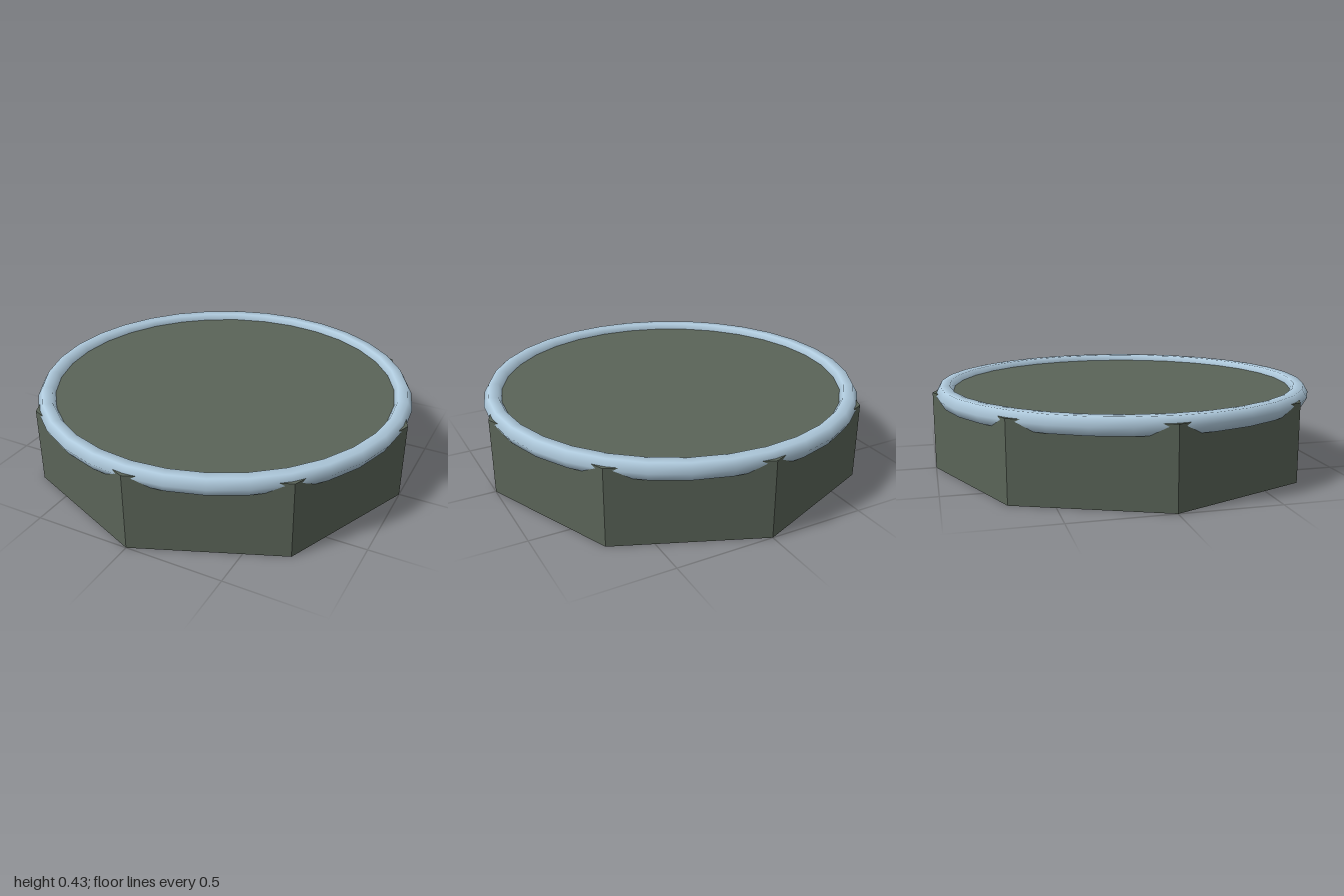
import * as THREE from 'three';

export function createModel() {
  const group = new THREE.Group();
  const slate = new THREE.MeshStandardMaterial({ color: 0x5a6458, flatShading: true });
  slate.name = 'dark grey green';
  const paleBlue = new THREE.MeshStandardMaterial({ color: 0xb0cbde });
  paleBlue.name = 'pale blue';

  // Eight-sided base with corners on the x and z axes
  const height = 0.4;
  const base = new THREE.Mesh(new THREE.CylinderGeometry(1, 1, height, 8), slate);
  base.name = 'base';
  base.position.y = height / 2;
  group.add(base);

  // Smooth ring sunk into the top edge
  const rim = new THREE.Mesh(new THREE.TorusGeometry(0.9375, 0.05, 6, 32), paleBlue);
  rim.name = 'rim';
  rim.rotation.x = -Math.PI / 2;
  rim.position.y = 0.387;
  group.add(rim);

  return group;
}
